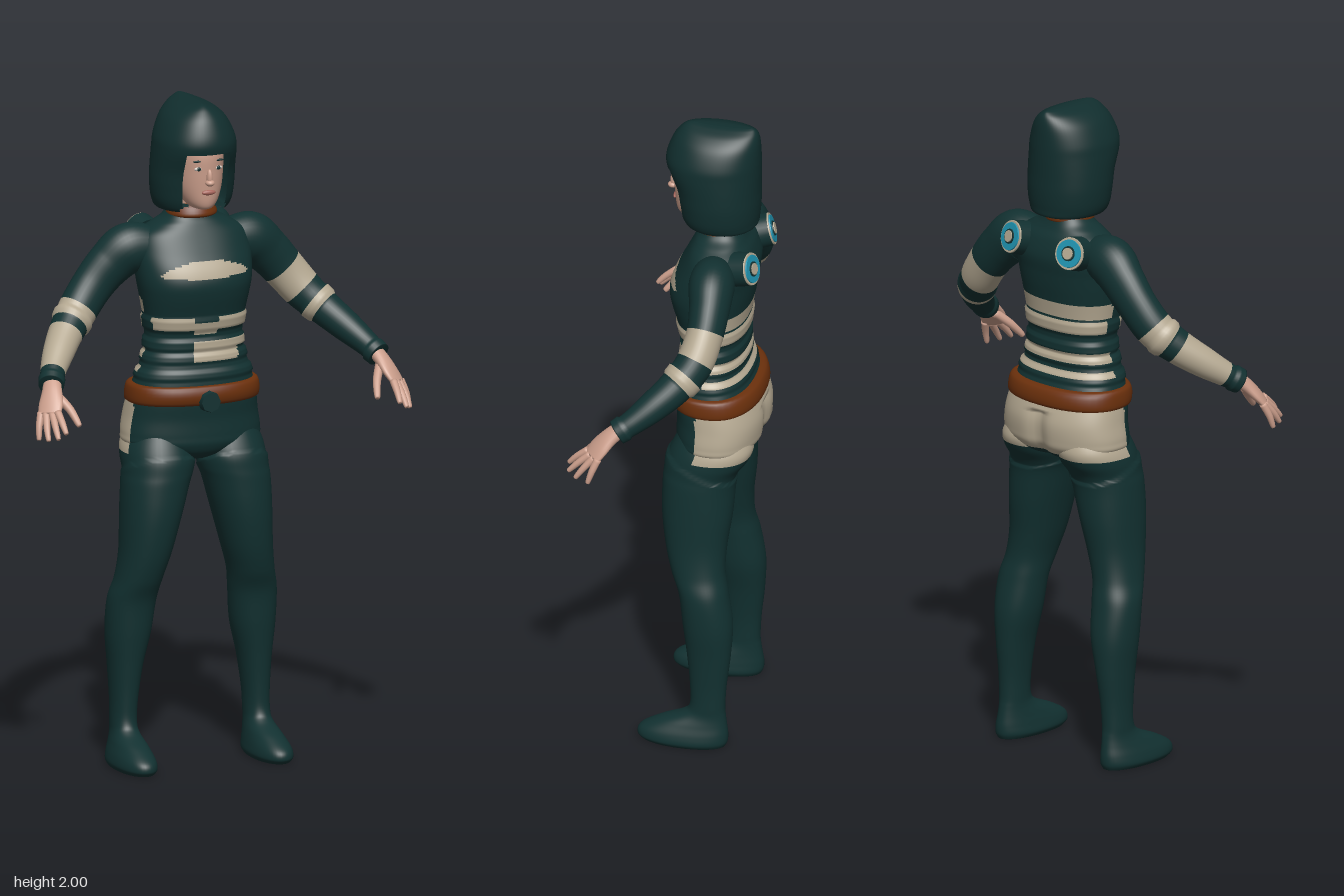
import * as THREE from 'three';

const mat = (name, color, side = THREE.FrontSide) => {
  const m = new THREE.MeshStandardMaterial({ color, side });
  m.name = name;
  return m;
};
const suit = mat('dark teal suit', 0x123131);
const hairMat = mat('dark hair', 0x112e2e, THREE.DoubleSide);
const beige = mat('beige panels', 0xb5a992);
const leather = mat('brown leather', 0x6b300c);
const skin = mat('skin', 0xcc9f8c);
const lip = mat('lips', 0xa8665c);
const teal = mat('bright teal', 0x1f93b0);
const white = mat('eye white', 0xcfc5bd);

// Smoothly interpolate rows of numbers, n steps between neighbouring keys
function spline(keys, n) {
  const out = [], at = i => keys[Math.max(0, Math.min(keys.length - 1, i))];
  for (let i = 0; i < keys.length - 1; i++) {
    for (let s = 0; s < n; s++) {
      const t = s / n;
      out.push(at(i).map((b, k) => {
        const a = at(i - 1)[k], c = at(i + 1)[k], d = at(i + 2)[k];
        return b + 0.5 * t * (c - a + t * (2 * a - 5 * b + 4 * c - d + t * (3 * (b - c) + d - a)));
      }));
    }
  }
  out.push(keys[keys.length - 1]);
  return out;
}

// Skin closed rings into a mesh; pick(centre, key index) gives the material, null leaves a hole
function loft(name, rings, n, pick, s = 1) {
  const segs = rings[0].length, pos = [], faces = new Map();
  rings.forEach(r => r.forEach(p => pos.push(p.x * s, p.y, p.z)));
  const ends = [rings[0], rings[rings.length - 1]].map(r => {
    const c = r.reduce((a, p) => a.add(p), new THREE.Vector3()).divideScalar(segs);
    pos.push(c.x * s, c.y, c.z);
    return pos.length / 3 - 1;
  });
  const add = (m, a, b, c) => {
    if (!m) return;
    if (!faces.has(m)) faces.set(m, []);
    faces.get(m).push(a, ...(s > 0 ? [b, c] : [c, b]));
  };
  const last = rings.length - 1;
  for (let j = 0; j < segs; j++) {
    const k = (j + 1) % segs;
    for (let i = 0; i < last; i++) {
      const mid = rings[i][j].clone().add(rings[i + 1][k]).multiplyScalar(0.5);
      const m = pick(mid, (i + 0.5) / n), a = i * segs, b = a + segs;
      add(m, a + j, b + j, a + k);
      add(m, b + j, b + k, a + k);
    }
    add(pick(rings[0][j], 0), ends[0], j, k);
    add(pick(rings[last][j], last / n), ends[1], last * segs + k, last * segs + j);
  }
  const g = new THREE.BufferGeometry(), index = [], mats = [...faces.keys()];
  mats.forEach((m, i) => {
    g.addGroup(index.length, faces.get(m).length, i);
    index.push(...faces.get(m));
  });
  g.setAttribute('position', new THREE.Float32BufferAttribute(pos, 3));
  g.setIndex(index);
  g.computeVertexNormals();
  const mesh = new THREE.Mesh(g, mats.length > 1 ? mats : mats[0]);
  mesh.name = name;
  return mesh;
}

// Level rings; keys are [y, x from, x to, z front, z back]
function upright(name, keys, { n = 6, segs = 48, pow = 2, pick = () => suit, grow = () => 0, s = 1 }) {
  const e = 2 / pow, q = v => Math.sign(v) * Math.abs(v) ** e;
  const rings = spline(keys, n).map(([y, x0, x1, zf, zb]) => Array.from({ length: segs }, (_, j) => {
    const a = (j / segs) * Math.PI * 2, c = Math.cos(a), d = Math.sin(a);
    const p = new THREE.Vector3((x0 + x1) / 2 + q(c) * (x1 - x0) / 2, y, (zf + zb) / 2 + q(d) * (zf - zb) / 2);
    const g = grow(p);
    return p.set(p.x + c * g, y, p.z + d * g);
  }));
  return loft(name, rings, n, pick, s);
}
const even = keys => keys.map(([y, r, f, b]) => [y, -r, r, f, b]);

// Rings across a path; keys are [x, y, z, width radius, thickness radius]
function limb(name, keys, { n = 5, segs = 12, ref = [0, 0, 1], pick = () => skin, grow = () => 0, s = 1 }) {
  const rows = spline(keys, n), P = rows.map(r => new THREE.Vector3(r[0], r[1], r[2]));
  const rings = rows.map((r, i) => {
    const t = P[Math.min(i + 1, P.length - 1)].clone().sub(P[Math.max(i - 1, 0)]).normalize();
    const v = new THREE.Vector3(...ref);
    v.addScaledVector(t, -v.dot(t)).normalize();
    const u = t.clone().cross(v), g = grow(i / n);
    return Array.from({ length: segs }, (_, j) => {
      const a = (j / segs) * Math.PI * 2;
      return P[i].clone().addScaledVector(u, Math.cos(a) * (r[3] + g)).addScaledVector(v, Math.sin(a) * (r[4] + g));
    });
  });
  return loft(name, rings, n, pick, s);
}

function blob(name, m, [x, y, z], [a, b, c]) {
  const mesh = new THREE.Mesh(new THREE.SphereGeometry(1, 20, 14).scale(a, b, c), m);
  mesh.position.set(x, y, z);
  mesh.name = name;
  return mesh;
}
const within = (v, a, b) => v > a && v < b;

// Suit panels on the torso
function torsoColour(p) {
  const { x, y, z } = p, back = z < -0.075;
  if (within(y, 0.955, 1.1) && z < -0.06) return beige;
  if (z > -0.02 && Math.abs(x) < 0.135 && within(y, 1.48 + 0.4 * x * x, 1.533 - 1.9 * x * x)) return beige;
  const dip = !back && Math.abs(x) < 0.04 ? 0.015 : 0;
  const gap = x < 0 && within(z, -0.09, -0.03);
  if (within(y, 1.322 - dip, 1.357 - dip) && !gap) return beige;
  if (back && (within(y, 1.365, 1.41) || within(y, 1.232, 1.265) || within(y, 1.185, 1.205))) return beige;
  if (!back && x > -0.035 && (within(y, 1.262, 1.288) || (within(y, 1.225, 1.262) && x < 0.11))) return beige;
  return suit;
}

export function createModel() {
  const model = new THREE.Group();
  model.name = 'figure';

  // Torso with raised waist bands
  const bands = [[1.32, 1.357], [1.262, 1.29], [1.222, 1.25], [1.17, 1.2]];
  model.add(upright('torso', even([
    [0.92, 0.05, -0.03, -0.14], [0.94, 0.13, 0.01, -0.195], [0.97, 0.205, 0.028, -0.224], [1.0, 0.213, 0.03, -0.232],
    [1.05, 0.206, 0.03, -0.234], [1.1, 0.198, 0.035, -0.22], [1.15, 0.185, 0.034, -0.198], [1.2, 0.168, 0.027, -0.178],
    [1.25, 0.153, 0.02, -0.172], [1.3, 0.149, 0.02, -0.172], [1.36, 0.156, 0.033, -0.178], [1.42, 0.167, 0.05, -0.188],
    [1.46, 0.174, 0.055, -0.195], [1.5, 0.178, 0.045, -0.2], [1.55, 0.18, 0.02, -0.205], [1.6, 0.165, -0.005, -0.192],
    [1.63, 0.12, -0.02, -0.175], [1.65, 0.085, -0.03, -0.166], [1.68, 0.062, -0.04, -0.155],
  ]), {
    n: 8, segs: 96, pow: 2.3, pick: torsoColour,
    grow: p => {
      const cleft = p.z < -0.1 && p.y < 1.08 ? -0.018 * Math.exp(-((p.x / 0.03) ** 2)) : 0;
      return cleft + (bands.some(b => within(p.y, ...b)) ? 0.006 : 0);
    },
  }));

  // Belt, buckle, collar
  model.add(upright('belt', even([
    [1.095, 0.19, 0.03, -0.21], [1.1, 0.203, 0.047, -0.225], [1.125, 0.204, 0.054, -0.226],
    [1.15, 0.198, 0.047, -0.215], [1.155, 0.18, 0.03, -0.19],
  ]), { n: 3, pow: 2.3, pick: () => leather }));
  const buckle = new THREE.Mesh(new THREE.CylinderGeometry(0.03, 0.034, 0.025, 8).rotateX(Math.PI / 2), suit);
  buckle.position.set(0, 1.11, 0.055);
  buckle.name = 'buckle';
  model.add(buckle);
  model.add(upright('collar', even([
    [1.65, 0.07, -0.025, -0.16], [1.658, 0.077, -0.015, -0.167], [1.68, 0.07, -0.025, -0.163], [1.69, 0.06, -0.035, -0.155],
  ]), { n: 3, pick: () => leather }));
  model.add(upright('neck', even([[1.66, 0.055, -0.045, -0.15], [1.76, 0.055, -0.03, -0.14]]), { pick: () => skin }));

  // Head and face
  model.add(upright('head', even([
    [1.685, 0.018, 0.02, -0.04], [1.692, 0.035, 0.035, -0.07], [1.712, 0.052, 0.043, -0.1], [1.75, 0.066, 0.047, -0.12],
    [1.8, 0.073, 0.051, -0.14], [1.86, 0.074, 0.052, -0.14], [1.91, 0.066, 0.03, -0.13],
  ]), { pick: () => skin }));
  model.add(blob('nose', skin, [0, 1.788, 0.053], [0.009, 0.026, 0.011]));
  model.add(blob('noseTip', skin, [0, 1.773, 0.056], [0.014, 0.01, 0.015]));
  model.add(blob('lips', lip, [0, 1.742, 0.046], [0.022, 0.008, 0.007]));
  for (const s of [-1, 1]) {
    model.add(blob('eye', white, [s * 0.031, 1.815, 0.043], [0.014, 0.006, 0.005]));
    model.add(blob('iris', hairMat, [s * 0.031, 1.815, 0.0465], [0.006, 0.006, 0.003]));
    model.add(blob('eyebrow', hairMat, [s * 0.032, 1.838, 0.044], [0.018, 0.003, 0.004]));
  }

  // Bobbed hair, open in front of the face below the fringe
  model.add(upright('hair', even([
    [1.69, 0.06, -0.03, -0.15], [1.675, 0.1, 0.01, -0.198], [1.7, 0.118, 0.026, -0.206], [1.75, 0.125, 0.035, -0.21],
    [1.8, 0.125, 0.045, -0.21], [1.86, 0.122, 0.07, -0.211], [1.9, 0.116, 0.071, -0.211], [1.95, 0.093, 0.052, -0.209],
    [1.98, 0.062, 0.03, -0.204], [1.995, 0.03, 0.01, -0.195], [2.0, 0.01, -0.01, -0.185],
  ]), {
    segs: 64, pow: 2.1,
    pick: (p, t) => (t < 5 && p.z > -0.03 && Math.abs(p.x) < 0.07) ? null : hairMat,
  }));

  for (const s of [1, -1]) {
    const side = s > 0 ? 'left' : 'right';

    // Leg with foot and a raised thigh edge
    model.add(upright(side + 'Leg', [
      [0, 0.165, 0.268, 0.095, -0.158], [0.015, 0.156, 0.277, 0.108, -0.165], [0.04, 0.159, 0.273, 0.098, -0.166],
      [0.07, 0.166, 0.262, 0.045, -0.162], [0.1, 0.173, 0.252, -0.025, -0.158], [0.13, 0.174, 0.25, -0.05, -0.156],
      [0.2, 0.17, 0.25, -0.05, -0.16], [0.3, 0.155, 0.256, -0.04, -0.171], [0.4, 0.132, 0.265, -0.026, -0.175],
      [0.5, 0.12, 0.264, -0.013, -0.16], [0.57, 0.11, 0.246, 0.013, -0.146], [0.65, 0.088, 0.234, 0.033, -0.146],
      [0.75, 0.062, 0.229, 0.045, -0.157], [0.85, 0.035, 0.224, 0.046, -0.163], [0.89, 0.02, 0.22, 0.044, -0.175],
      [0.93, 0.008, 0.22, 0.04, -0.203], [0.97, 0.01, 0.213, 0.025, -0.216], [1.02, 0.03, 0.19, 0, -0.2],
    ], {
      s, n: 7, pow: 2.15,
      pick: p => (p.y > 0.945 && p.z < -0.06 ? beige : suit),
      grow: p => (within(p.y, 0.5, 0.93 + 0.38 * p.z) ? 0.005 * Math.min(1, (p.y - 0.5) / 0.3) : 0),
    }));

    // Arm, with different beige bands on each side
    const stripes = s > 0 ? [[2.9, 3.9], [4.45, 4.9]] : [[3.9, 4.6], [5, 7.1]];
    const raised = s > 0 ? [4.45, 4.9] : [4.2, 4.6];
    model.add(limb(side + 'Arm', [
      [0.11, 1.555, -0.1, 0.06, 0.06], [0.19, 1.557, -0.11, 0.077, 0.068], [0.25, 1.512, -0.118, 0.07, 0.06],
      [0.305, 1.452, -0.117, 0.064, 0.055], [0.362, 1.383, -0.098, 0.06, 0.056], [0.415, 1.33, -0.055, 0.052, 0.052],
      [0.462, 1.283, 0, 0.046, 0.046], [0.498, 1.245, 0.05, 0.038, 0.038], [0.522, 1.215, 0.095, 0.033, 0.033],
    ], {
      s, n: 10, segs: 32,
      pick: (p, t) => (stripes.some(b => within(t, ...b)) ? beige : suit),
      grow: t => (within(t, ...raised) || t > 7.4 ? 0.005 : 0),
    }));

    // Hand
    const hand = new THREE.Group(), ref = [0.5, 0.68, 0.44];
    hand.name = side + 'Hand';
    hand.add(limb('palm', [
      [0.515, 1.225, 0.085, 0.026, 0.022], [0.528, 1.2, 0.115, 0.031, 0.02],
      [0.542, 1.17, 0.142, 0.038, 0.016], [0.556, 1.142, 0.162, 0.036, 0.011],
    ], { s, ref, segs: 20 }));
    [
      [[0.535, 1.152, 0.178], [0.534, 1.125, 0.212], [0.532, 1.1, 0.236]],
      [[0.548, 1.146, 0.168], [0.553, 1.113, 0.205], [0.555, 1.085, 0.232]],
      [[0.562, 1.144, 0.154], [0.572, 1.108, 0.184], [0.576, 1.077, 0.206]],
      [[0.573, 1.145, 0.14], [0.585, 1.108, 0.155], [0.59, 1.073, 0.166]],
      [[0.515, 1.19, 0.12], [0.489, 1.152, 0.162], [0.476, 1.113, 0.198]],
    ].forEach(([a, b, c], i) => {
      const r = i === 4 ? 0.014 : 0.0115, tip = c.map((v, k) => v + (c[k] - b[k]) * 0.08);
      hand.add(limb(i === 4 ? 'thumb' : 'finger', [
        [...a, r, r], [...b, r * 0.88, r * 0.88], [...c, r * 0.62, r * 0.62], [...tip, 0.002, 0.002],
      ], { s, ref, n: 4 }));
    });
    model.add(hand);

    // Round shoulder blade discs, stacked outwards
    const disc = new THREE.Group();
    disc.name = side + 'BackDisc';
    [[0.052, 0.05, 0, suit], [0.05, 0.008, 0.025, beige], [0.043, 0.008, 0.029, teal],
      [0.023, 0.008, 0.032, suit], [0.018, 0.008, 0.035, beige]].forEach(([r, h, y, m]) => {
      const plate = new THREE.Mesh(new THREE.CylinderGeometry(r * 0.96, r, h, 28), m);
      plate.position.y = y;
      plate.name = 'discLayer';
      disc.add(plate);
    });
    disc.position.set(s * 0.115, 1.583, -0.188);
    disc.quaternion.setFromUnitVectors(new THREE.Vector3(0, 1, 0), new THREE.Vector3(s * 0.2, 0.28, -1).normalize());
    model.add(disc);
  }
  return model;
}
